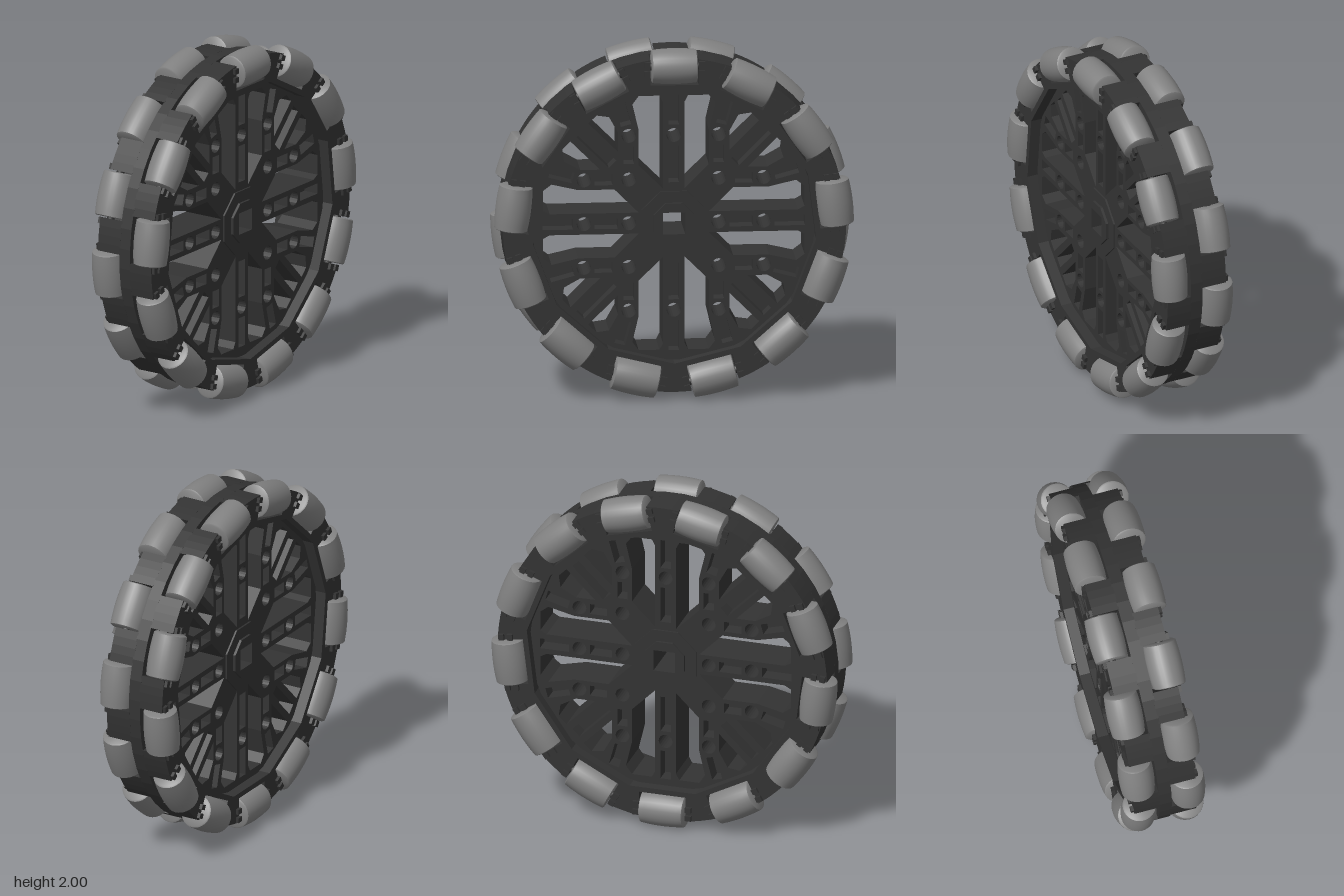
import * as THREE from 'three';
import { toCreasedNormals } from 'three/addons/utils/BufferGeometryUtils.js';

const COUNT = 13, STEP = (Math.PI * 2) / COUNT;
const dark = new THREE.MeshStandardMaterial({ color: 0x333333 });
const grey = new THREE.MeshStandardMaterial({ color: 0x808080 });

const pathOf = (pts) => new THREE.Path(pts.map(([x, y]) => new THREE.Vector2(x, y)));
const circle = (x, y, r) => new THREE.Path().absarc(x, y, r, 0, Math.PI * 2);
const polygon = (n, apothem, start) => Array.from({ length: n }, (_, i) => {
  const a = start + (i + 0.5) * (Math.PI * 2 / n), r = apothem / Math.cos(Math.PI / n);
  return [r * Math.cos(a), r * Math.sin(a)];
});
const squareHole = () => pathOf([[-0.062, -0.062], [0.062, -0.062], [0.062, 0.062], [-0.062, 0.062]]);

// Repeats a point list in all eight octants
function octants(pts) {
  const out = [];
  for (let q = 0; q < 4; q++) {
    const c = Math.round(Math.cos(q * Math.PI / 2)), s = Math.round(Math.sin(q * Math.PI / 2));
    for (const m of [1, -1]) out.push(pts.map(([x, y]) => [m * x * c - y * s, m * x * s + y * c]));
  }
  return out;
}

// Extrudes an outline with holes from z0 to z1
function slab(name, outline, holes, z0, z1) {
  const shape = new THREE.Shape(outline.map(([x, y]) => new THREE.Vector2(x, y)));
  shape.holes.push(...holes);
  const geo = new THREE.ExtrudeGeometry(shape, { depth: z1 - z0, bevelEnabled: false, curveSegments: 10 });
  geo.translate(0, 0, z0);
  const mesh = new THREE.Mesh(geo, dark);
  mesh.name = name;
  return mesh;
}

// Openings between the spokes
const windows = [
  ...octants([[0.06, 0.195], [0.06, 0.69], [0.08, 0.727], [0.195, 0.727], [0.23, 0.68], [0.195, 0.53], [0.195, 0.33]]),
  ...octants([[0.31, 0.41], [0.31, 0.52], [0.36, 0.61], [0.43, 0.62], [0.475, 0.575]]),
];

// Round bolt holes on a square grid
const bolts = [[0.25, 0], [-0.25, 0]];
for (const s of [1, -1]) {
  bolts.push([0.5 * s, 0], [0, 0.5 * s]);
  for (const t of [1, -1]) bolts.push([0.25 * s, 0.25 * t], [0.25 * s, 0.5 * t], [0.5 * s, 0.25 * t]);
}

// Shallow channels running along the spokes
function channel(x0, y0, x1, y1, w = 0.03) {
  const l = Math.hypot(x1 - x0, y1 - y0), nx = -(y1 - y0) / l * w, ny = (x1 - x0) / l * w;
  return [[x0 + nx, y0 + ny], [x1 + nx, y1 + ny], [x1 - nx, y1 - ny], [x0 - nx, y0 - ny]];
}
const channels = [
  ...octants(channel(0.25, 0.34, 0.25, 0.44)),
  ...octants(channel(0.265, 0.56, 0.3, 0.69)),
];
for (const s of [1, -1]) {
  channels.push(channel(0, 0.23 * s, 0, 0.44 * s), channel(0, 0.56 * s, 0, 0.73 * s));
  channels.push(channel(0.31 * s, 0, 0.44 * s, 0), channel(0.56 * s, 0, 0.73 * s, 0));
  for (const t of [1, -1]) channels.push(channel(0.34 * s, 0.34 * t, 0.52 * s, 0.52 * t));
}

const commonHoles = () => [squareHole(), ...windows.map(pathOf), ...bolts.map(([x, y]) => circle(x, y, 0.04))];

// Rim outline with a square pocket for each roller
function toothedOutline(start) {
  const pts = [], half = 0.135, floor = 0.8, top = 0.955;
  const edge = Math.asin(half / top);
  for (let k = 0; k < COUNT; k++) {
    const a = start + k * STEP, c = Math.cos(a), s = Math.sin(a);
    for (const t of [-half, half]) pts.push([floor * c - t * s, floor * s + t * c]);
    for (let i = 0; i <= 4; i++) {
      const b = a + edge + (STEP - 2 * edge) * i / 4;
      pts.push([top * Math.cos(b), top * Math.sin(b)]);
    }
  }
  return pts;
}

// Barrel whose bulge follows the wheel's outer circle
function rollerGeometry() {
  const pts = [new THREE.Vector2(0, -0.127), new THREE.Vector2(0.084, -0.127)];
  for (let i = 0; i <= 8; i++) {
    const t = -0.122 + 0.244 * i / 8;
    pts.push(new THREE.Vector2(Math.sqrt(1 - t * t) - 0.9, t));
  }
  pts.push(new THREE.Vector2(0.084, 0.127), new THREE.Vector2(0, 0.127));
  return toCreasedNormals(new THREE.LatheGeometry(pts, 28), 0.6);
}

export function createModel() {
  const model = new THREE.Group();
  model.name = 'omniWheel';
  const wheel = new THREE.Group();
  wheel.name = 'wheel';
  wheel.position.y = 1;
  model.add(wheel);

  // Central web, rim disc and hub
  wheel.add(slab('web', polygon(52, 0.8, 0), commonHoles(), -0.03, 0.03));
  wheel.add(slab('rimDisc', polygon(52, 0.954, 0), [pathOf(polygon(COUNT, 0.775, Math.PI / 2))], -0.036, 0.036));
  wheel.add(slab('hub', polygon(8, 0.18, 0), [squareHole()], -0.13, 0.13));
  wheel.add(slab('hubCollar', polygon(8, 0.115, 0), [squareHole()], -0.145, 0.145));

  const roller = rollerGeometry();
  const axle = new THREE.CylinderGeometry(0.022, 0.022, 0.3, 10);
  const clip = new THREE.BoxGeometry(0.03, 0.035, 0.025);

  for (const side of [1, -1]) {
    const label = side > 0 ? 'front' : 'back';
    const start = Math.PI / 2 + (side > 0 ? 0 : STEP / 2);
    const span = (a, b) => (side > 0 ? [a, b] : [-b, -a]);

    // Spoke ribs and pocketed rim
    const holes = [...commonHoles(), ...channels.map(pathOf)];
    wheel.add(slab(label + 'SpokeRibs', polygon(52, 0.785, 0), holes, ...span(0.03, 0.12)));
    wheel.add(slab(label + 'Rim', toothedOutline(start), [pathOf(polygon(COUNT, 0.77, start))], ...span(0.03, 0.18)));

    // Rollers with axles and retaining clips
    for (let k = 0; k < COUNT; k++) {
      const unit = new THREE.Group();
      unit.name = label + 'RollerUnit';
      unit.rotation.z = start + k * STEP;
      const add = (geo, mat, name, x, y, z) => {
        const mesh = new THREE.Mesh(geo, mat);
        mesh.name = name;
        mesh.position.set(x, y, z * side);
        unit.add(mesh);
      };
      add(roller, grey, 'roller', 0.9, 0, 0.14);
      add(axle, dark, 'axle', 0.9, 0, 0.14);
      for (const t of [1, -1]) for (const r of [0.87, 0.92]) add(clip, dark, 'axleClip', r, 0.152 * t, 0.185);
      wheel.add(unit);
    }
  }
  return model;
}
